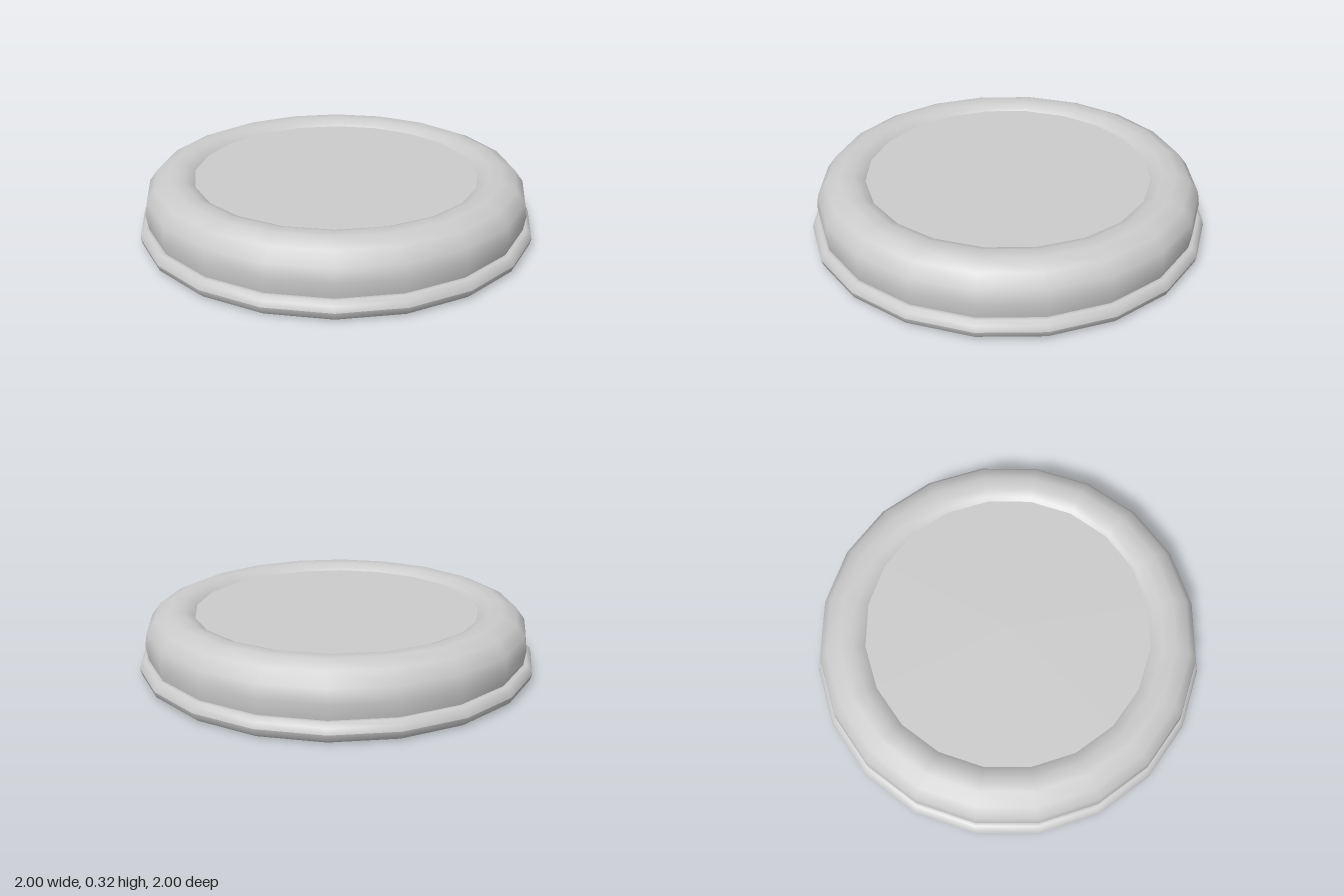
import * as THREE from 'three';

const SIDES = 20;

export function createModel() {
  const group = new THREE.Group();
  const material = new THREE.MeshStandardMaterial({ color: 0xcccccc, side: THREE.DoubleSide });
  const add = (name, geometry) => {
    const mesh = new THREE.Mesh(geometry, material);
    mesh.name = name;
    group.add(mesh);
    return mesh;
  };
  const lathe = (points) => new THREE.LatheGeometry(points, SIDES);

  // Rolled bead around the open bottom edge
  const bead = [];
  for (let i = 0; i <= 10; i++) {
    const a = (i / 10) * Math.PI * 2;
    bead.push(new THREE.Vector2(0.96 + 0.04 * Math.cos(a), 0.047 + 0.047 * Math.sin(a)));
  }
  add('rimBead', lathe(bead));

  // Thin rounded shell: wall, shoulder and inward roll down to the top panel
  const shell = [
    [0.945, 0.06], [0.955, 0.09], [0.966, 0.165], [0.955, 0.23],
    [0.91, 0.29], [0.84, 0.32], [0.775, 0.316], [0.735, 0.3], [0.712, 0.28],
  ].map(([r, y]) => new THREE.Vector2(r, y));
  add('shell', lathe(shell));

  // Flat recessed top panel
  const panel = add('topPanel', new THREE.CircleGeometry(0.735, SIDES));
  panel.rotation.x = -Math.PI / 2;
  panel.position.y = 0.285;

  return group;
}
